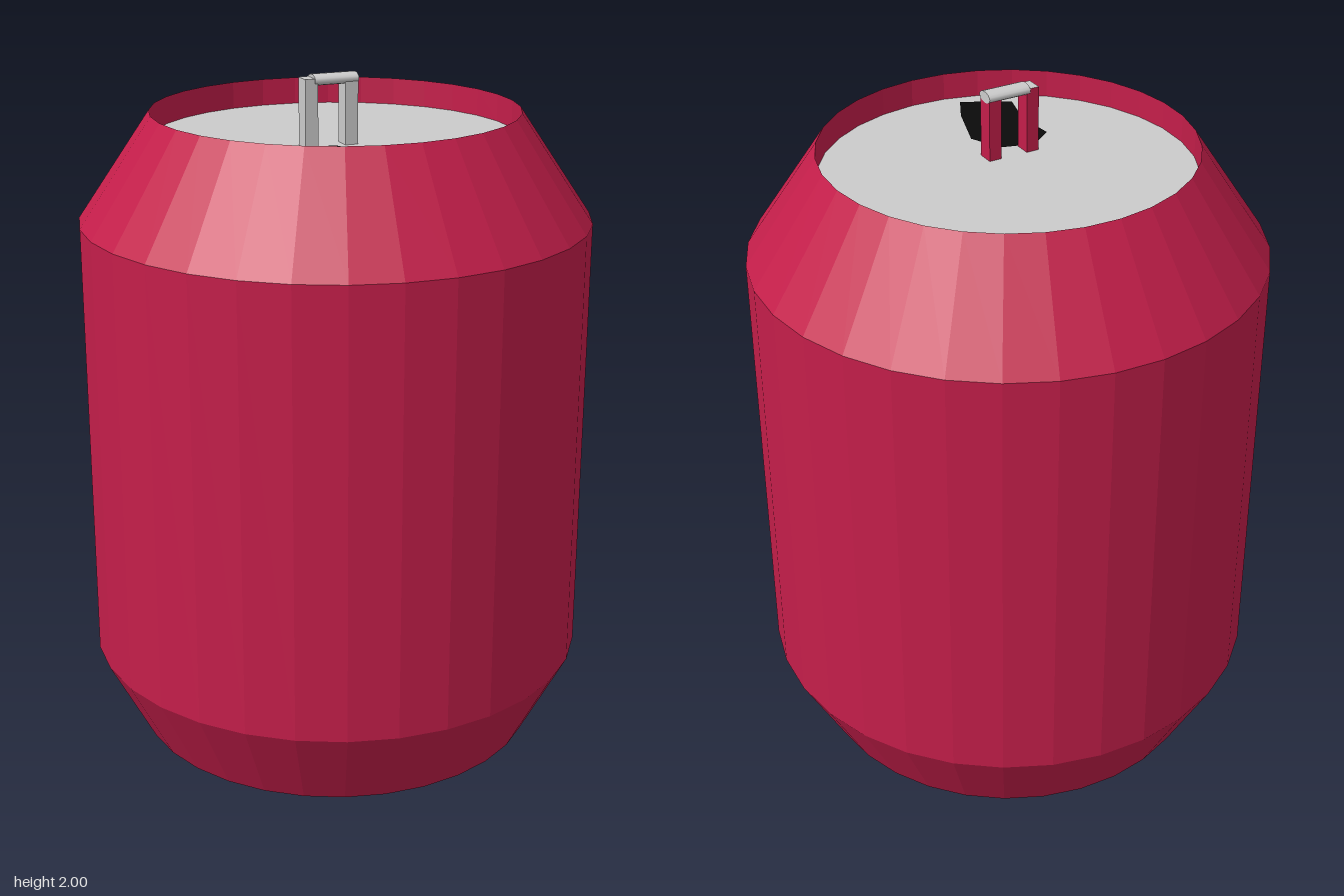
import * as THREE from 'three';

const SEGMENTS = 32;
const RIM_TOP = 0.53, RIM_BOTTOM = 0.605;
const LID_Y = 1.8, BASE_Y = 0.105;

const grey = new THREE.MeshStandardMaterial({ color: 0xcccccc });
const red = new THREE.MeshStandardMaterial({ color: 0xc41e4a, flatShading: true, side: THREE.DoubleSide });
const black = new THREE.MeshStandardMaterial({ color: 0x0a0a0a });

function addMesh(parent, name, geometry, material, x = 0, y = 0, z = 0) {
  const mesh = new THREE.Mesh(geometry, material);
  mesh.name = name;
  mesh.position.set(x, y, z);
  parent.add(mesh);
  return mesh;
}

export function createModel() {
  const can = new THREE.Group();
  can.name = 'can';

  // Shell with tapered ends and inner walls down to the recessed discs
  const profile = [
    [RIM_BOTTOM, BASE_Y], [RIM_BOTTOM, 0], [0.74, 0.26],
    [0.74, 1.57], [RIM_TOP, 1.88], [RIM_TOP, LID_Y],
  ].map(([r, y]) => new THREE.Vector2(r, y));
  addMesh(can, 'body', new THREE.LatheGeometry(profile, SEGMENTS), red);

  // Recessed lid and base
  const lid = new THREE.CircleGeometry(RIM_TOP, SEGMENTS).rotateX(-Math.PI / 2);
  addMesh(can, 'lid', lid, grey, 0, LID_Y);
  const base = new THREE.CircleGeometry(RIM_BOTTOM, SEGMENTS).rotateX(Math.PI / 2);
  addMesh(can, 'base', base, grey, 0, BASE_Y);

  // Dark drinking opening on the lid, outlined as [x, z]
  const outline = [
    [0.08, 0.125], [0.18, 0.145], [0.275, 0.28], [0.32, 0.37],
    [0.18, 0.435], [0.1, 0.335], [0, 0.275], [0, 0.185],
  ].map(([x, z]) => new THREE.Vector2(x, -z));
  const opening = new THREE.ShapeGeometry(new THREE.Shape(outline)).rotateX(-Math.PI / 2);
  addMesh(can, 'opening', opening, black, 0, LID_Y + 0.003);

  // Upright pull tab: two legs, red behind and grey in front, under a rounded bar
  const tab = new THREE.Group();
  tab.name = 'pullTab';
  tab.position.set(0.045, LID_Y, 0.112);
  tab.rotation.y = -0.63;
  can.add(tab);

  const legFaces = [grey, red, grey, grey, grey, red];
  for (const [name, z] of [['leftLeg', -0.06], ['rightLeg', 0.06]]) {
    addMesh(tab, name, new THREE.BoxGeometry(0.05, 0.19, 0.038), legFaces, 0, 0.095, z);
  }
  const bar = new THREE.CylinderGeometry(0.029, 0.029, 0.13, 16)
    .rotateX(Math.PI / 2).scale(1, 0.55, 1);
  addMesh(tab, 'topBar', bar, grey, 0, 0.184, -0.015);

  return can;
}
